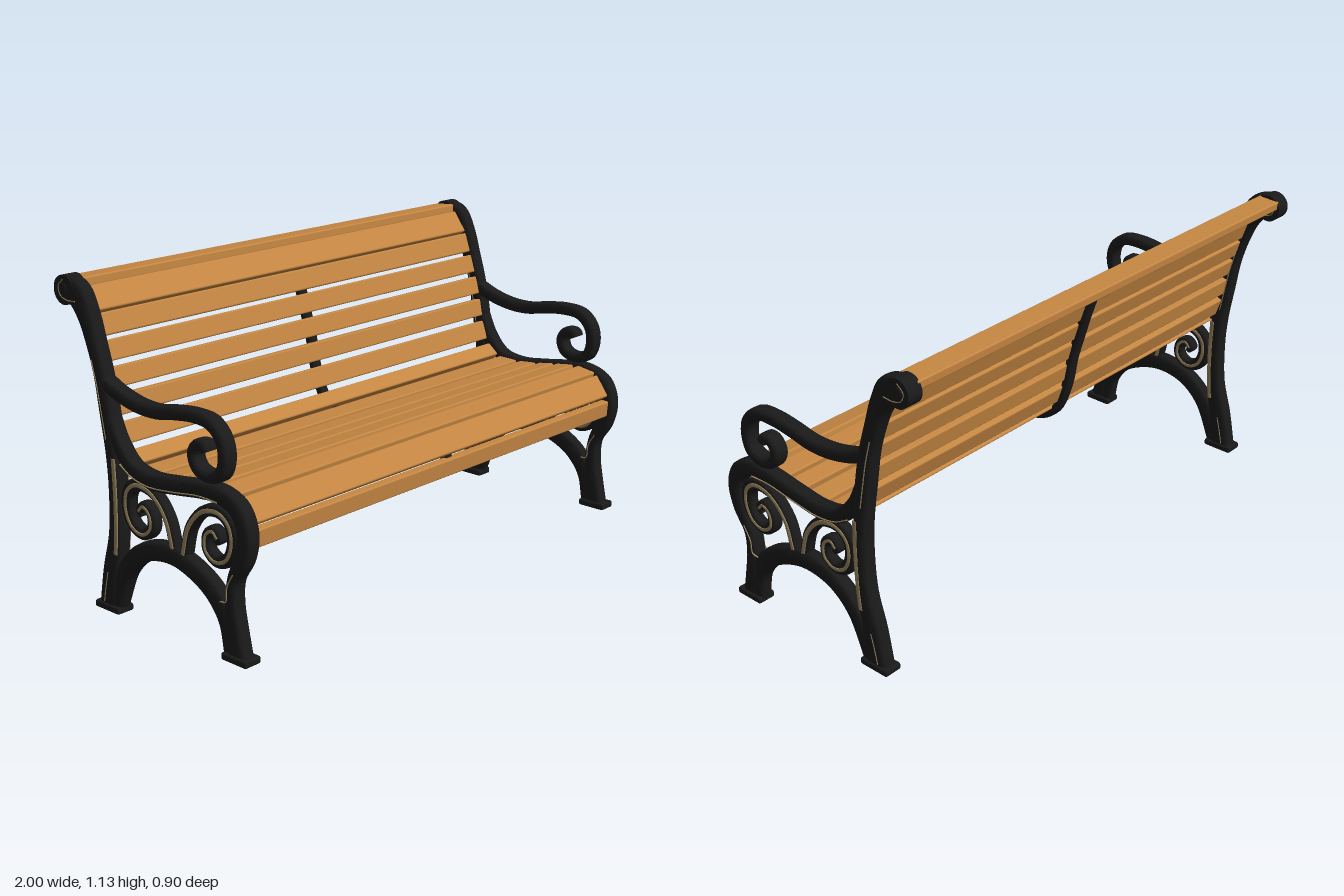
import * as THREE from 'three';
import { toCreasedNormals } from 'three/addons/utils/BufferGeometryUtils.js';
import { RoundedBoxGeometry } from 'three/addons/geometries/RoundedBoxGeometry.js';

const iron = new THREE.MeshStandardMaterial({ color: 0x1a1a1b });
iron.name = 'black iron';
const wood = new THREE.MeshStandardMaterial({ color: 0xc48642 });
wood.name = 'oiled wood';
const brass = new THREE.MeshStandardMaterial({ color: 0x97835c });
brass.name = 'worn brass';

// Bar with a rounded-rectangle section swept along [z, y, halfWidth] points
function sweep(points, hx, steps) {
  const curve = new THREE.CatmullRomCurve3(points.map(([z, y, w]) => new THREE.Vector3(w, y, z)));
  const sides = 16, pos = [], index = [];
  const round = v => Math.sign(v) * Math.pow(Math.abs(v), 0.5);
  for (let i = 0; i <= steps; i++) {
    const p = curve.getPoint(i / steps), t = curve.getTangent(i / steps);
    const len = Math.hypot(t.y, t.z), ny = t.z / len, nz = -t.y / len;
    for (let j = 0; j < sides; j++) {
      const a = (j / sides) * Math.PI * 2, n = p.x * round(Math.sin(a));
      pos.push(hx * round(Math.cos(a)), p.y + ny * n, p.z + nz * n);
      if (i === steps) continue;
      const k = (j + 1) % sides, a0 = i * sides + j, b0 = i * sides + k;
      index.push(a0, b0, a0 + sides, b0, b0 + sides, a0 + sides);
    }
  }
  // End caps
  const last = steps * sides;
  for (let j = 1; j < sides - 1; j++) {
    index.push(0, j + 1, j, last, last + j, last + j + 1);
  }
  const g = new THREE.BufferGeometry();
  g.setAttribute('position', new THREE.Float32BufferAttribute(pos, 3));
  g.setIndex(index);
  return toCreasedNormals(g, 0.9);
}

function add(parent, name, geometry, material, x = 0, y = 0, z = 0) {
  const m = new THREE.Mesh(geometry, material);
  m.name = name;
  m.position.set(x, y, z);
  parent.add(m);
  return m;
}

// Gives a list of [z, y] points a width that tapers from w0 to w1
const taper = (pts, w0, w1) =>
  pts.map(([z, y], i) => [z, y, w0 + (w1 - w0) * i / (pts.length - 1)]);

const backPost = [
  [-0.397, 1.087, 0.046], [-0.351, 1.07, 0.047], [-0.309, 1.01, 0.037], [-0.276, 0.926, 0.03],
  [-0.244, 0.823, 0.029], [-0.22, 0.697, 0.031], [-0.2, 0.552, 0.027], [-0.195, 0.43, 0.025],
  [-0.2, 0.28, 0.03], [-0.228, 0.145, 0.04], [-0.246, 0.015, 0.048]];
const seatRail = [
  [-0.216, 0.703, 0.02], [-0.173, 0.606, 0.024], [-0.107, 0.534, 0.027], [-0.01, 0.511, 0.029],
  [0.11, 0.522, 0.029], [0.225, 0.538, 0.029], [0.315, 0.54, 0.03], [0.388, 0.507, 0.032],
  [0.418, 0.437, 0.031], [0.403, 0.356, 0.03], [0.363, 0.275, 0.022], [0.354, 0.196, 0.025],
  [0.363, 0.1, 0.033], [0.375, 0.015, 0.04]];
const arch = taper([
  [0.352, 0.02], [0.327, 0.13], [0.261, 0.211], [0.155, 0.265], [0.056, 0.281],
  [-0.056, 0.256], [-0.146, 0.181], [-0.222, 0.015]], 0.036, 0.033);
const armrest = taper([
  [-0.225, 0.797], [-0.165, 0.773], [-0.07, 0.751], [0.02, 0.748], [0.11, 0.763], [0.2, 0.772],
  [0.276, 0.763], [0.322, 0.72], [0.333, 0.658], [0.312, 0.606], [0.261, 0.59], [0.21, 0.606],
  [0.192, 0.65], [0.214, 0.684], [0.246, 0.684], [0.254, 0.668]], 0.024, 0.018);
const frontScroll = [
  [0.135, 0.3, 0.018], [0.165, 0.4, 0.018], [0.23, 0.468, 0.019], [0.306, 0.482, 0.023],
  [0.352, 0.45, 0.025], [0.362, 0.39, 0.025], [0.336, 0.334, 0.023], [0.285, 0.316, 0.021],
  [0.243, 0.345, 0.02], [0.245, 0.395, 0.019], [0.276, 0.415, 0.018], [0.298, 0.395, 0.017],
  [0.288, 0.378, 0.011]];
const rearScroll = frontScroll.map(([z, y, w]) => [0.222 - z, y, w]);

// Fine worn lines that follow the casting
const wornLines = {
  railLine: [[-0.15, 0.54], [-0.09, 0.508], [-0.01, 0.495], [0.11, 0.506], [0.225, 0.522], [0.31, 0.52]],
  postLine: [[-0.272, 0.87], [-0.25, 0.79], [-0.232, 0.7], [-0.215, 0.61]],
  curlLine: [[-0.34, 1.05], [-0.38, 1.048], [-0.415, 1.06], [-0.425, 1.09], [-0.4, 1.115]],
  rearLegLine: [[-0.235, 0.14], [-0.25, 0.08], [-0.26, 0.03]],
  frontLegLine: [[0.375, 0.3], [0.347, 0.25], [0.34, 0.2], [0.315, 0.195]],
};

function sideFrame() {
  const g = new THREE.Group();
  add(g, 'backPost', sweep(backPost, 0.029, 60), iron);
  add(g, 'seatRailAndFrontLeg', sweep(seatRail, 0.028, 80), iron);
  add(g, 'legArch', sweep(arch, 0.026, 40), iron);
  add(g, 'armrest', sweep(armrest, 0.028, 100), iron);
  for (const [name, path] of [['frontScroll', frontScroll], ['rearScroll', rearScroll]]) {
    add(g, name, sweep(path, 0.02, 80), iron);
    // Worn inlay on both faces of the scroll
    for (const s of [-1, 1])
      add(g, name + 'Inlay', sweep(taper(path.slice(0, 12), 0.008, 0.005), 0.003, 60), brass, s * 0.0195);
  }
  // Worn strip on the lower post, and the fine lines
  const strip = taper([[-0.184, 0.55], [-0.181, 0.43], [-0.184, 0.3], [-0.192, 0.215]], 0.009, 0.008);
  for (const s of [-1, 1]) {
    add(g, 'postInlay', sweep(strip, 0.003, 16), brass, s * 0.0275);
    for (const [name, path] of Object.entries(wornLines))
      add(g, name, sweep(taper(path, 0.002, 0.002), 0.003, 20), brass, s * 0.0275);
  }
  // Rolled top of the post with a bolt head
  const curl = new THREE.CylinderGeometry(0.05, 0.05, 0.058, 32).rotateZ(Math.PI / 2);
  add(g, 'topCurl', curl, iron, 0, 1.08, -0.398);
  const bolt = new THREE.CylinderGeometry(0.018, 0.018, 0.064, 20).rotateZ(Math.PI / 2);
  add(g, 'curlBolt', bolt, iron, 0, 1.085, -0.4);
  // Feet
  add(g, 'frontFoot', new RoundedBoxGeometry(0.07, 0.026, 0.114, 2, 0.008), iron, 0, 0.013, 0.374);
  add(g, 'rearFoot', new RoundedBoxGeometry(0.07, 0.026, 0.122, 2, 0.008), iron, 0, 0.013, -0.244);
  return g;
}

// Each slat's exposed face, from its rear or upper edge to its front or lower edge: z, y, z, y
const slats = [
  [-0.44, 1.115, -0.355, 1.12], [-0.345, 1.095, -0.29, 1.02], [-0.287, 1.012, -0.262, 0.94],
  [-0.258, 0.927, -0.236, 0.86], [-0.23, 0.842, -0.211, 0.775], [-0.207, 0.752, -0.194, 0.685],
  [-0.19, 0.665, -0.165, 0.594], [-0.155, 0.578, -0.11, 0.54], [-0.1, 0.533, -0.016, 0.53],
  [0, 0.53, 0.08, 0.537], [0.096, 0.54, 0.166, 0.55], [0.18, 0.552, 0.26, 0.562],
  [0.283, 0.563, 0.362, 0.55], [0.374, 0.542, 0.428, 0.468], [0.432, 0.446, 0.427, 0.384]];

export function createModel() {
  const bench = new THREE.Group();
  bench.name = 'bench';

  for (const s of [1, -1]) {
    const frame = sideFrame();
    frame.name = s > 0 ? 'leftFrame' : 'rightFrame';
    frame.position.x = s * 0.965;
    bench.add(frame);
  }

  // Slats follow the seat and back curve
  const thick = 0.033;
  slats.forEach(([z0, y0, z1, y1], i) => {
    const dz = z1 - z0, dy = y1 - y0, len = Math.hypot(dz, dy);
    const geo = new RoundedBoxGeometry(1.89, thick, len, 2, 0.006);
    const m = add(bench, i < 7 ? 'backSlat' : 'seatSlat', geo, wood, 0,
      (y0 + y1) / 2 - dz / len * thick / 2, (z0 + z1) / 2 + dy / len * thick / 2);
    m.rotation.x = Math.atan2(-dy, dz);
  });

  // Centre strap behind the slats, from the front edge up to the rolled top
  const strap = taper([
    [0.402, 0.44], [0.375, 0.488], [0.33, 0.515], [0.27, 0.522], [0.18, 0.513], [0.09, 0.501],
    [0, 0.494], [-0.1, 0.498], [-0.175, 0.543], [-0.226, 0.66], [-0.248, 0.77], [-0.278, 0.87],
    [-0.303, 0.95], [-0.335, 1.03], [-0.385, 1.078]], 0.015, 0.015);
  add(bench, 'centreStrap', sweep(strap, 0.02, 70), iron);

  return bench;
}
